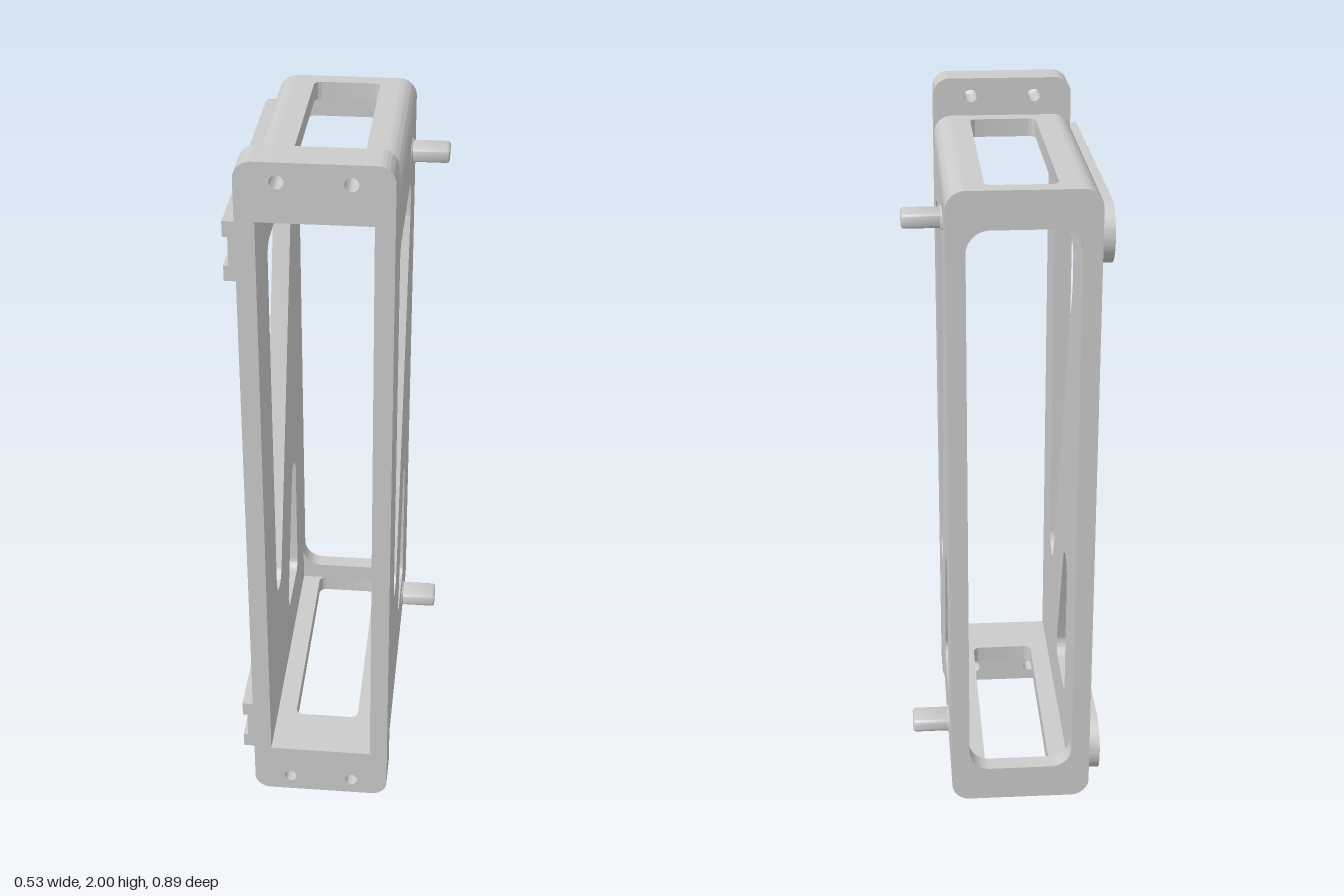
import * as THREE from 'three';
import { toCreasedNormals } from 'three/addons/utils/BufferGeometryUtils.js';
import { RoundedBoxGeometry } from 'three/addons/geometries/RoundedBoxGeometry.js';

const material = new THREE.MeshStandardMaterial({ color: 0xcccccc });

// Outer box limits and wall thickness
const L = -0.235, R = 0.155, BOTTOM = 0.11, TOP = 1.895, BACK = -0.445, FRONT = 0.445, T = 0.05;

// Closed outline from [x, y, cornerRadius] points
function outline(points, Type = THREE.Shape) {
  const shape = new Type();
  const n = points.length;
  points.forEach(([x, y, r = 0], i) => {
    const p = new THREE.Vector2(x, y);
    const [ax, ay] = points[(i + n - 1) % n], [bx, by] = points[(i + 1) % n];
    const a = new THREE.Vector2(ax, ay).sub(p).normalize();
    const b = new THREE.Vector2(bx, by).sub(p).normalize();
    if (!r) {
      i ? shape.lineTo(x, y) : shape.moveTo(x, y);
      return;
    }
    const half = Math.acos(a.dot(b)) / 2;
    const start = p.clone().addScaledVector(a, r / Math.tan(half));
    const end = p.clone().addScaledVector(b, r / Math.tan(half));
    const c = a.clone().add(b).normalize().multiplyScalar(r / Math.sin(half)).add(p);
    i ? shape.lineTo(start.x, start.y) : shape.moveTo(start.x, start.y);
    shape.absarc(c.x, c.y, r,
      Math.atan2(start.y - c.y, start.x - c.x),
      Math.atan2(end.y - c.y, end.x - c.x), a.cross(b) > 0);
  });
  shape.closePath();
  return shape;
}

const rect = (x0, y0, x1, y1, r = 0, Type = THREE.Shape) =>
  outline([[x0, y0, r], [x1, y0, r], [x1, y1, r], [x0, y1, r]], Type);

const extrude = (shape, depth) =>
  new THREE.ExtrudeGeometry(shape, { depth, bevelEnabled: false, curveSegments: 10 });

function add(group, name, geometry) {
  const mesh = new THREE.Mesh(toCreasedNormals(geometry, 0.6), material);
  mesh.name = name;
  group.add(mesh);
  return mesh;
}

// Plate whose outline lies in (-z, y), thickened along x
const sidePlate = (shape, x, depth) => extrude(shape, depth).rotateY(Math.PI / 2).translate(x, 0, 0);

export function createModel() {
  const model = new THREE.Group();
  model.name = 'mountingFrame';

  // Side walls with a long wedge window and a small wedge window
  for (const [name, x] of [['rightWall', L], ['leftWall', R - T]]) {
    const wall = rect(BACK, BOTTOM + T, FRONT, TOP - T);
    wall.holes.push(
      outline([[-0.24, 1.69, 0.04], [-0.24, 0.31, 0.055], [0.235, 1.57, 0.04], [0.235, 1.69, 0.04]], THREE.Path),
      outline([[0.235, 0.32, 0.035], [0.235, 0.974, 0.05], [-0.014, 0.32, 0.04]], THREE.Path));
    add(model, name, sidePlate(wall, x, T));
  }

  // Top and bottom walls with a rectangular window
  for (const [name, y] of [['bottomWall', BOTTOM], ['topWall', TOP - T]]) {
    const wall = rect(L + T, BACK, R - T, FRONT);
    wall.holes.push(rect(-0.13, -0.29, 0.055, 0.395, 0.022, THREE.Path));
    add(model, name, extrude(wall, T).rotateX(-Math.PI / 2).translate(0, y, 0));
  }

  // Rounded long edges joining the four walls
  [[R - T, TOP - T], [L + T, TOP - T], [L + T, BOTTOM + T], [R - T, BOTTOM + T]].forEach(([x, y], i) => {
    const quarter = new THREE.Shape();
    quarter.moveTo(0, 0);
    quarter.lineTo(T, 0);
    quarter.absarc(0, 0, T, 0, Math.PI / 2, false);
    quarter.closePath();
    add(model, 'roundedEdge', extrude(quarter, FRONT - BACK)
      .rotateZ(i * Math.PI / 2).translate(x, y, BACK));
  });

  // Parts repeated at the top and, turned over, at the bottom
  for (const end of [0, 1]) {
    const place = (geometry) => end
      ? geometry.translate(0.04, -1.0025, 0).rotateZ(Math.PI).translate(-0.04 + 0.0, 1.0025, 0).translate(0, 0, 0)
      : geometry;
    const label = end ? 'bottom' : 'top';

    // Back lip with filleted corners
    const x0 = L + T, x1 = R - T, y = TOP - T;
    const lip = outline([[x0, y - 0.11], [x0, y - 0.05, 0.0599], [x1, y - 0.05, 0.0599],
      [x1, y - 0.11], [x1, y], [x0, y]]);
    add(model, label + 'BackLip', place(extrude(lip, T).translate(0, 0, BACK)));

    // Front mounting flange with two screw holes
    const flange = outline([[L, y], [R, y], [R, 2, 0.045], [L, 2, 0.045]]);
    for (const x of [-0.13, 0.05]) {
      const hole = new THREE.Path();
      hole.absarc(x, 1.95, 0.018, 0, Math.PI * 2, true);
      flange.holes.push(hole);
    }
    const flangeGeometry = extrude(flange, 0.105).translate(0, 0, 0.34);
    add(model, label + 'Flange', end ? place(flangeGeometry) : flangeGeometry);
  }

  // Pegs on the left wall and grooved rails on the right wall
  for (const [label, pegY, railY] of [['upper', 1.767, 1.765], ['lower', 0.24, 0.245]]) {
    add(model, label + 'Peg', new RoundedBoxGeometry(0.125, 0.038, 0.08, 3, 0.009)
      .translate(0.1985, pegY, -0.228));
    add(model, label + 'PegCollar', new RoundedBoxGeometry(0.02, 0.046, 0.092, 2, 0.009)
      .translate(0.151, pegY, -0.228));

    const base = outline([[BACK, -0.08], [FRONT, -0.08, 0.0799], [FRONT, 0.08, 0.0799], [BACK, 0.08]]);
    add(model, label + 'RailBase', sidePlate(base, -0.252, 0.017).translate(0, railY, 0));
    const rib = outline([[BACK, -0.08], [FRONT, -0.08, 0.0799], [FRONT, 0.08, 0.0799], [BACK, 0.08],
      [BACK, 0.038], [0.403, 0.038, 0.0379], [0.403, -0.038, 0.0379], [BACK, -0.038]]);
    add(model, label + 'RailRib', sidePlate(rib, -0.265, 0.013).translate(0, railY, 0));
  }

  return model;
}
